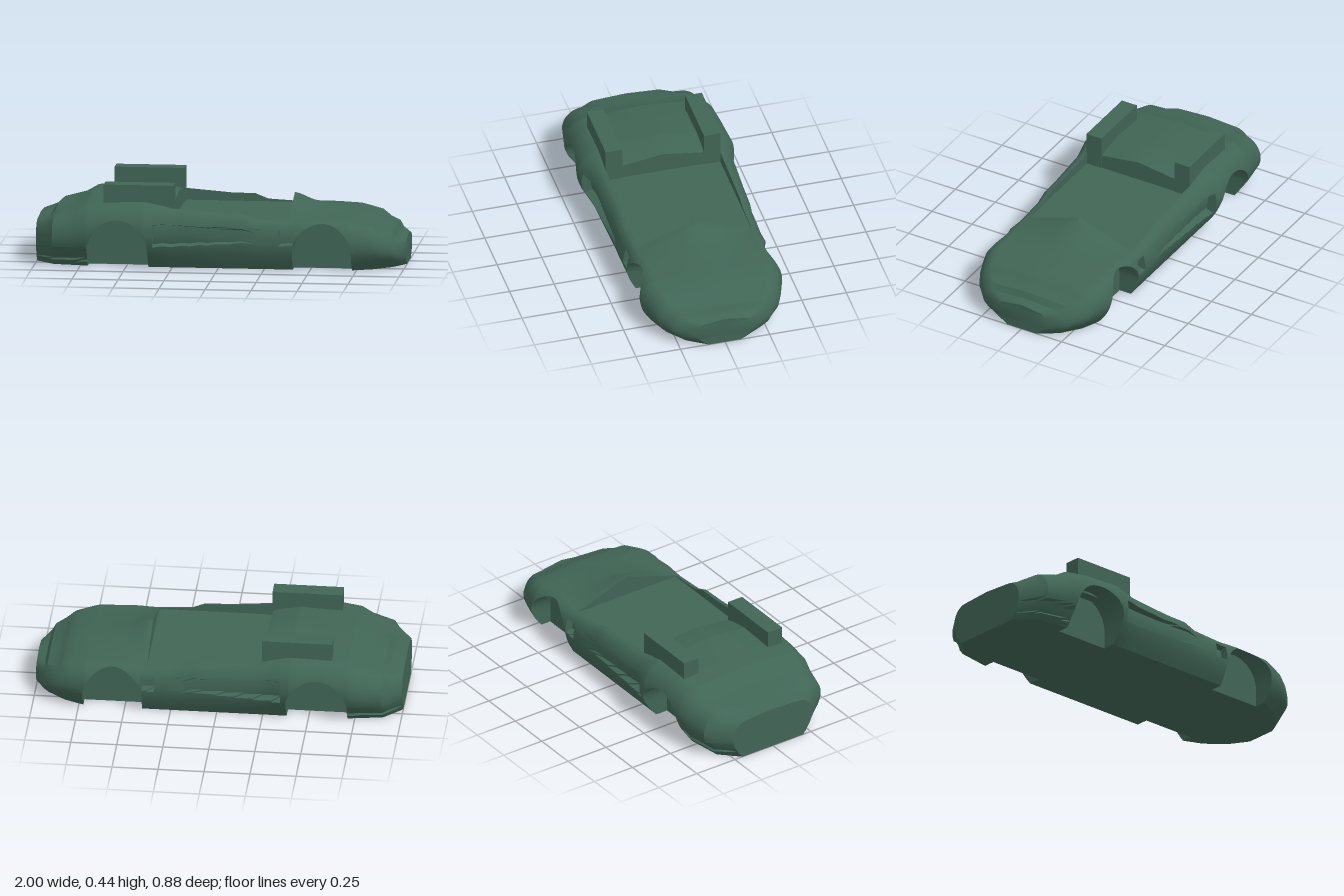
import * as THREE from 'three';
import { toCreasedNormals } from 'three/addons/utils/BufferGeometryUtils.js';

// body stations: x, ridge height, shoulder height, half width, shoulder z, floor half width
const STATIONS = [
  [-1, .235, .225, .26, .17, .2], [-.93, .25, .24, .35, .25, .27], [-.9, .29, .27, .385, .27, .3],
  [-.78, .31, .30, .41, .29, .32], [-.72, .355, .335, .425, .29, .33], [-.6, .365, .35, .43, .30, .335],
  [-.4, .384, .355, .44, .30, .335], [-.3, .375, .335, .415, .31, .335], [-.25, .365, .32, .405, .32, .335],
  [0, .31, .30, .395, .32, .335], [.13, .31, .298, .39, .32, .335], [.2, .3, .27, .388, .32, .335],
  [.38, .367, .26, .385, .32, .335], [.41, .36, .26, .387, .32, .335], [.5, .32, .267, .395, .31, .335],
  [.6, .295, .266, .40, .30, .335], [.71, .275, .26, .40, .30, .33], [.76, .268, .25, .385, .29, .31],
  [.83, .25, .235, .36, .27, .28], [.88, .215, .20, .335, .25, .24], [.93, .198, .185, .29, .21, .2],
  [.95, .165, .155, .27, .19, .17], [1, .155, .14, .16, .10, .09],
];
const ARCHES = [{ x: -.545, y: .1, r: .165 }, { x: .565, y: .095, r: .16 }];
const WALL_Z = .265;
const COCKPIT = { from: -.25, to: .38, floor: .255 };
const SIDE = 36;
const lerp = THREE.MathUtils.lerp;

function sample(x) {
  let i = 0;
  while (i < STATIONS.length - 2 && x > STATIONS[i + 1][0]) i++;
  const a = STATIONS[i], b = STATIONS[i + 1], k = (x - a[0]) / (b[0] - a[0]);
  return a.map((v, j) => lerp(v, b[j], k));
}

// side pod, front vent and rear bumper recesses
function recess(x, y) {
  if (x >= -.351 && x <= .25) {
    const k = (x + .35) / .6;
    if (y > lerp(.125, .16, k) && y < lerp(.242, .22, k)) return .05 * (1 - k);
  }
  if (x >= .335 && x <= .406 && y > .14 && y < .215) return .045;
  if (x >= -.96 && x <= -.7 && y > .035 && y < .1) return .015;
  return 0;
}

function sideZ(x, y, [, , s, w, zs, zb]) {
  const yw = s * .56;
  const z = y > yw
    ? zs + (w - zs) * Math.sqrt(Math.max(0, 1 - ((y - yw) / (s - yw)) ** 2))
    : zb + (w - zb) * Math.sin(Math.PI / 2 * y / yw);
  return z - recess(x, y);
}

// half section from the top centre, over the shoulder and wheel arch, to the bottom centre
function halfSection(x, inArch, inCockpit) {
  const st = sample(x), [, t, s, , zs] = st, pts = [];
  for (let i = 0; i <= 4; i++) pts.push([zs * i / 4, inCockpit ? COCKPIT.floor : lerp(t, s, i / 4)]);
  pts.push([zs, s]);
  let cut = 0;
  if (inArch) {
    const a = ARCHES[x < 0 ? 0 : 1];
    cut = a.y + Math.sqrt(Math.max(0, a.r ** 2 - (x - a.x) ** 2));
  }
  for (let i = 1; i <= SIDE; i++) {
    const y = s - (s - cut) * (i / SIDE) ** 1.3;
    pts.push([sideZ(x, y, st), y]);
  }
  const wall = Math.min(WALL_Z, st[5]);
  pts.push([wall, cut], [wall, 0], [0, 0]);
  return pts;
}

function bodyGeometry() {
  // columns; hard edges get two columns at the same x
  const cols = [];
  const add = (x, arch = false, pit = x > COCKPIT.from && x < COCKPIT.to, order = 0) =>
    cols.push({ x, arch, pit, order });
  const inside = x => ARCHES.some(a => Math.abs(x - a.x) <= a.r + 1e-6);
  for (const s of STATIONS)
    if (!inside(s[0]) && s[0] !== COCKPIT.from && s[0] !== COCKPIT.to) add(s[0]);
  for (const x of [-.96, -.85, -.352, -.35, -.2, -.15, -.1, -.05, .06, .25, .3, .333, .336, .79, .855, .975]) add(x);
  add(COCKPIT.from, false, false, 0);
  add(COCKPIT.from, false, true, 1);
  add(COCKPIT.to, false, true, 0);
  add(COCKPIT.to, false, false, 1);
  for (const a of ARCHES) {
    add(a.x - a.r, false, false, 0);
    for (let i = 0; i <= 24; i++) add(a.x - a.r * Math.cos(Math.PI * i / 24), true, false, i + 1);
    add(a.x + a.r, false, false, 99);
  }
  cols.sort((a, b) => Math.abs(a.x - b.x) < 1e-6 ? a.order - b.order : a.x - b.x);

  const rings = cols.map(c => {
    const half = halfSection(c.x, c.arch, c.pit);
    const mirror = half.slice(1, -1).reverse().map(([z, y]) => [-z, y]);
    return [...half, ...mirror].map(([z, y]) => [c.x, y, z]);
  });
  // flat end caps
  const flat = ring => ring.map(([x, y]) => [x, y, 0]);
  rings.unshift(flat(rings[0]));
  rings.push(flat(rings[rings.length - 1]));

  const n = rings[0].length, index = [];
  for (let r = 0; r < rings.length - 1; r++) {
    for (let i = 0; i < n; i++) {
      const a = r * n + i, b = r * n + (i + 1) % n, c = a + n, d = b + n;
      index.push(a, b, c, b, d, c);
    }
  }
  const geo = new THREE.BufferGeometry();
  geo.setAttribute('position', new THREE.Float32BufferAttribute(rings.flat(2), 3));
  geo.setIndex(index);
  return toCreasedNormals(geo, .6);
}

export function createModel() {
  const model = new THREE.Group();
  model.name = 'openRaceCar';
  const green = new THREE.MeshStandardMaterial({ color: 0x406555, side: THREE.DoubleSide });
  green.name = 'racing green';

  const body = new THREE.Mesh(bodyGeometry(), green);
  body.name = 'body';
  model.add(body);

  // raised blocks on the rear deck
  for (const side of [1, -1]) {
    const block = new THREE.Mesh(new THREE.BoxGeometry(.38, .195, .093), green);
    block.name = side > 0 ? 'leftDeckBlock' : 'rightDeckBlock';
    block.position.set(-.435, .3475, side * .276);
    model.add(block);
  }
  return model;
}
